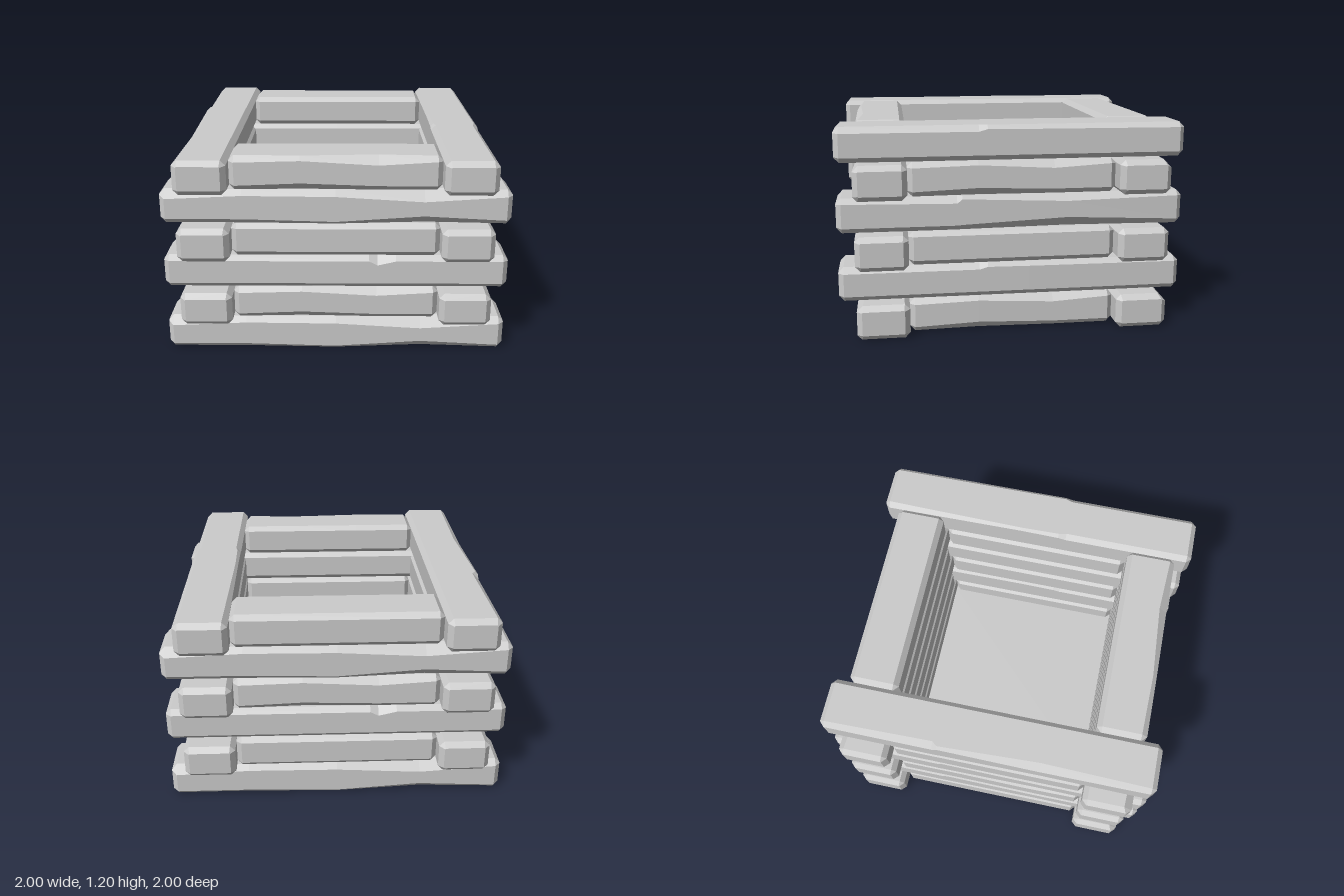
import * as THREE from 'three';

const material = new THREE.MeshStandardMaterial({ color: 0xcccccc, flatShading: true });
const BEVEL = 0.03, H = 0.1, W = 0.15;

// Wear along a beam: [position -1..1, topOuter, bottomOuter, topInner, bottomInner] bevel sizes
const WEAR = {
  bowed: [[-1, 0.05, 0.03, 0.03, 0.03], [-0.55, 0.03, 0.03, 0.03, 0.03], [0, 0.035, 0.015, 0.03, 0.03],
    [0.52, 0.065, 0.05, 0.03, 0.03], [1, 0.035, 0.025, 0.03, 0.03]],
  chipped: [[-1, 0.03, 0.03, 0.03, 0.03], [0.2, 0.03, 0.03, 0.03, 0.03], [0.25, 0.055, 0.03, 0.03, 0.03],
    [0.36, 0.03, 0.03, 0.03, 0.03], [1, 0.03, 0.03, 0.03, 0.03]],
  stepped: [[-1, 0.035, 0.03, 0.03, 0.03], [-0.2, 0.036, 0.03, 0.03, 0.03], [-0.15, 0.022, 0.03, 0.02, 0.03],
    [0.1, 0.025, 0.03, 0.015, 0.03], [1, 0.03, 0.03, 0.03, 0.03]],
  notched: [[-1, 0.03, 0.03, 0.03, 0.03], [-0.33, 0.042, 0.03, 0.03, 0.03], [-0.3, 0.018, 0.033, 0.03, 0.03],
    [0.33, 0.045, 0.06, 0.03, 0.03], [1, 0.03, 0.03, 0.03, 0.03]],
  sagging: [[-1, 0.035, 0.03, 0.03, 0.03], [-0.35, 0.025, 0.045, 0.03, 0.03], [0.42, 0.05, 0.03, 0.03, 0.03],
    [1, 0.03, 0.03, 0.03, 0.03]],
  plain: [[-1, 0.03, 0.03, 0.03, 0.03], [1, 0.03, 0.03, 0.03, 0.03]],
};

// Eight-sided cross-section as [y, z] pairs
function section(h, w, to, bo, ti, bi) {
  return [[h, -w + ti], [h, w - to], [h - to, w], [-h + bo, w],
    [-h, w - bo], [-h, -w + bi], [-h + bi, -w], [h - ti, -w]];
}

// Worn beam along x with bevelled ends, outer face towards +z
function beamGeometry(length, wear) {
  const half = length / 2;
  const cap = section(H - BEVEL, W - BEVEL, 0.004, 0.004, 0.004, 0.004);
  const rings = [[-half, cap]];
  for (const [t, ...bevels] of wear) rings.push([t * (half - BEVEL), section(H, W, ...bevels)]);
  rings.push([half, cap]);

  const positions = [], index = [];
  for (const [x, ring] of rings) for (const [y, z] of ring) positions.push(x, y, z);
  const last = (rings.length - 1) * 8;
  for (let i = 0; i < last; i += 8) {
    for (let j = 0; j < 8; j++) {
      const a = i + j, b = i + (j + 1) % 8;
      index.push(a, b, b + 8, a, b + 8, a + 8);
    }
  }
  for (let j = 1; j < 7; j++) index.push(0, j + 1, j, last, last + j, last + j + 1);

  const indexed = new THREE.BufferGeometry();
  indexed.setAttribute('position', new THREE.Float32BufferAttribute(positions, 3));
  indexed.setIndex(index);
  const geometry = indexed.toNonIndexed();
  geometry.computeVertexNormals();
  return geometry;
}

export function createModel() {
  const model = new THREE.Group();
  model.name = 'logCrate';

  // Sides in order: front, left, back, right; wear differs per layer
  const sides = ['front', 'left', 'back', 'right'];
  const layers = [
    ['bowed', 'sagging', 'bowed', 'plain'],
    ['sagging', 'stepped', 'plain', 'notched'],
    ['chipped', 'plain', 'chipped', 'sagging'],
    ['plain', 'notched', 'sagging', 'notched'],
    ['bowed', 'sagging', 'bowed', 'plain'],
    ['sagging', 'stepped', 'plain', 'notched'],
  ];

  // Long beams alternate direction per layer; short beams fill the gaps between them
  layers.forEach((styles, layer) => {
    sides.forEach((side, s) => {
      const long = s % 2 === layer % 2;
      const beam = new THREE.Mesh(beamGeometry(long ? 2 : 1.2, WEAR[styles[s]]), material);
      const angle = s * Math.PI / 2;
      beam.name = `${side}${long ? 'Long' : 'Short'}Beam${layer + 1}`;
      beam.rotation.y = angle;
      beam.position.set(Math.sin(angle) * 0.75, H + layer * 0.2, Math.cos(angle) * 0.75);
      model.add(beam);
    });
  });

  // Floor panel
  const floor = new THREE.Mesh(new THREE.BoxGeometry(1.26, 0.04, 1.26), material);
  floor.name = 'floorPanel';
  floor.position.y = 0.05;
  model.add(floor);

  return model;
}
